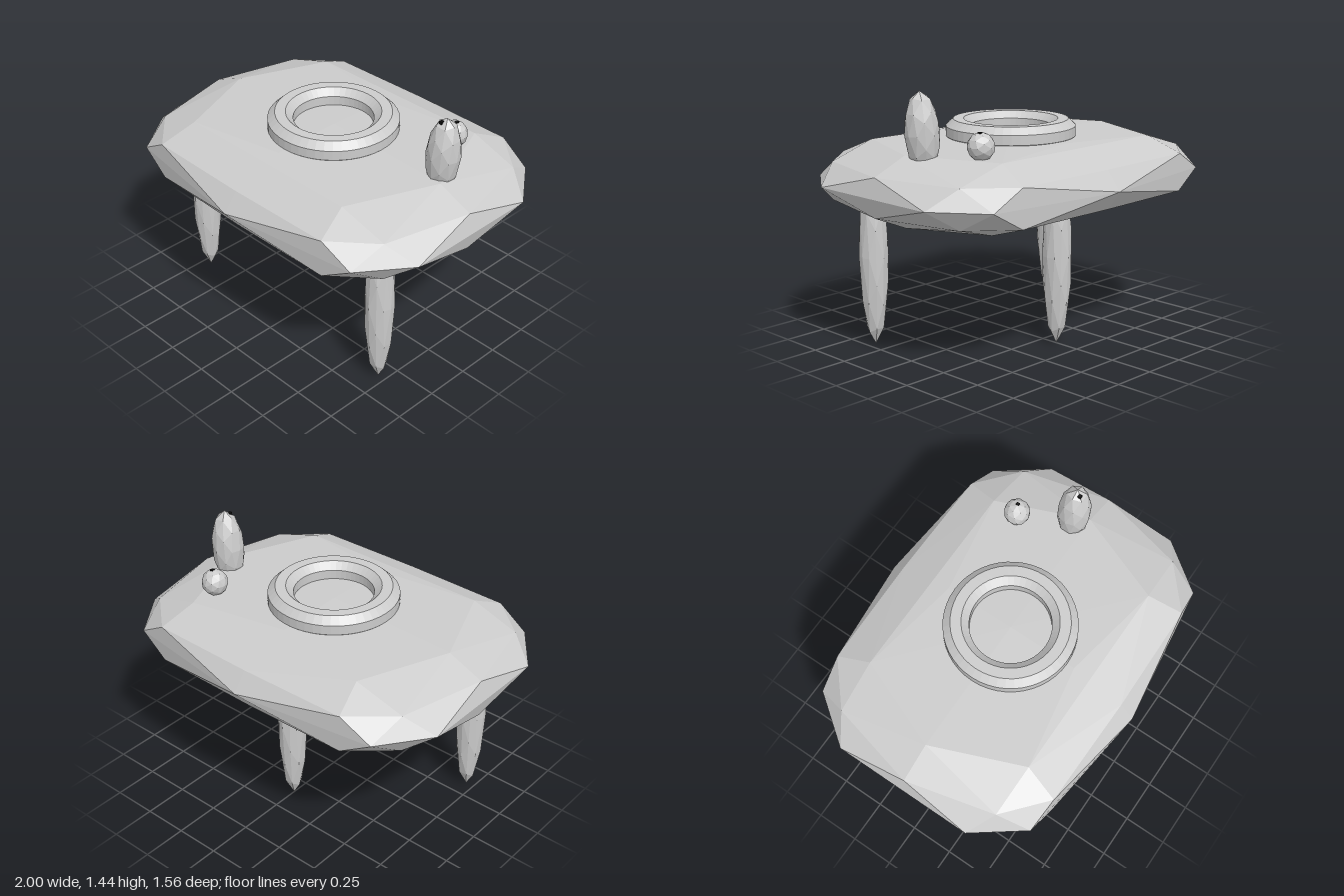
import * as THREE from 'three';
import { ConvexGeometry } from 'three/addons/geometries/ConvexGeometry.js';

export function createModel() {
  const group = new THREE.Group();
  const grey = new THREE.MeshStandardMaterial({ color: 0xcccccc, flatShading: true });
  const black = new THREE.MeshStandardMaterial({ color: 0x111111, flatShading: true });

  const add = (name, geometry, material, x, y, z) => {
    const mesh = new THREE.Mesh(geometry, material);
    mesh.name = name;
    mesh.position.set(x, y, z);
    group.add(mesh);
    return mesh;
  };
  // Faceted ellipsoid
  const pebble = (rx, ry, rz) => new THREE.IcosahedronGeometry(1, 1).scale(rx, ry, rz);

  // Body: faceted slab, one quadrant mirrored over all three axes
  const quadrant = [
    [1, 0, 0.4], [0.8, 0, 0.67], [0, 0, 0.78],
    [0.97, 0.105, 0], [0.85, 0.105, 0.49], [0.62, 0.105, 0.69], [0, 0.105, 0.7],
    [0.77, 0.19, 0], [0.57, 0.19, 0.5], [0, 0.203, 0.4], [0, 0.213, 0],
  ];
  const points = [];
  for (const [x, y, z] of quadrant)
    for (const sx of x ? [1, -1] : [1])
      for (const sy of y ? [1, -1] : [1])
        for (const sz of z ? [1, -1] : [1])
          points.push(new THREE.Vector3(x * sx, y * sy, z * sz * (sy < 0 && y > 0.15 ? 0.85 : 1)));
  add('body', new ConvexGeometry(points), grey, 0, 0.915, 0);

  // Three tapered legs
  for (const [name, x, z] of [['frontLeftLeg', 0.7, 0.35], ['frontRightLeg', -0.7, 0.35], ['backLeg', 0, -0.35]])
    add(name, pebble(0.08, 0.5, 0.083), grey, x, 0.5, z);

  // Ring on top, with an eight-sided section
  const section = [];
  for (let i = 0; i <= 8; i++) {
    const a = (i + 0.5) * Math.PI / 4;
    section.push(new THREE.Vector2(0.287 + 0.075 * Math.cos(a), 0.07 * Math.sin(a)));
  }
  add('ring', new THREE.LatheGeometry(section, 48), grey, 0, 1.147, 0);

  // Two small standing figures, each with a dark eye
  add('tallFigure', pebble(0.092, 0.22, 0.092), grey, 0.715, 1.22, -0.075).rotation.z = -0.07;
  add('tallFigureEye', new THREE.BoxGeometry(0.018, 0.05, 0.018), black, 0.713, 1.4, -0.05);
  add('smallFigure', pebble(0.073, 0.075, 0.073), grey, 0.56, 1.167, -0.34);
  add('smallFigureEye', new THREE.BoxGeometry(0.018, 0.028, 0.018), black, 0.57, 1.228, -0.343);

  return group;
}
